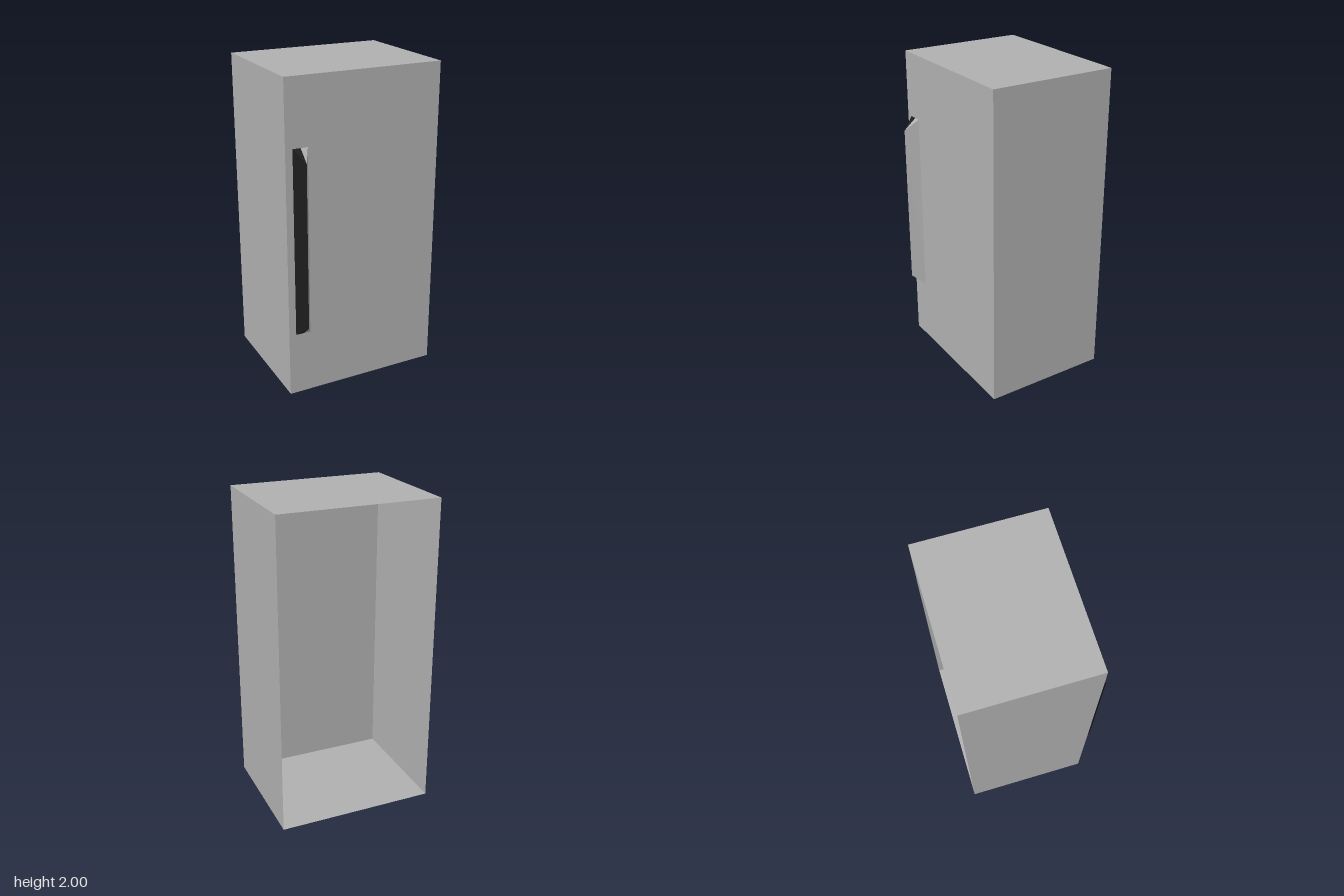
import * as THREE from 'three';

const W = 1.01, H = 2, BACK = -0.44, FRONT = 0.36;

// One half of the wedge handle: a long sloping side and half of each bevelled end.
function handleHalf(edgeX, material, name) {
  const midX = -0.41, base = FRONT + 0.001, tip = 0.44;
  const edge = (y) => [edgeX, y, base];
  const mid = (y) => [midX, y, base];
  const ridge = (y) => [midX, y, tip];
  const [bottom, ridgeBottom, ridgeTop, top] = [0.41, 0.48, 1.52, 1.59];
  const triangles = [
    [edge(bottom), ridge(ridgeBottom), ridge(ridgeTop)],
    [edge(bottom), ridge(ridgeTop), edge(top)],
    [edge(top), ridge(ridgeTop), mid(top)],
    [edge(bottom), mid(bottom), ridge(ridgeBottom)],
  ];
  // The mirrored half needs the opposite winding to face outwards.
  if (edgeX > midX) triangles.forEach((t) => t.reverse());
  const geometry = new THREE.BufferGeometry();
  geometry.setAttribute('position', new THREE.Float32BufferAttribute(triangles.flat(2), 3));
  geometry.computeVertexNormals();
  const mesh = new THREE.Mesh(geometry, material);
  mesh.name = name;
  return mesh;
}

export function createModel() {
  const group = new THREE.Group();
  group.name = 'cabinet';

  const grey = new THREE.MeshStandardMaterial({ color: 0xb0b0b0 });
  grey.name = 'light grey';
  grey.side = THREE.DoubleSide;
  const black = new THREE.MeshStandardMaterial({ color: 0x1c1c1c });
  black.name = 'black';
  black.side = THREE.DoubleSide;

  // Thin-walled body, open at the back: drop the last box face (-z)
  const shell = new THREE.BoxGeometry(W, H, FRONT - BACK);
  shell.setIndex(Array.from(shell.index.array).slice(0, 30));
  shell.clearGroups();
  shell.translate(0, H / 2, (FRONT + BACK) / 2);
  const body = new THREE.Mesh(shell, grey);
  body.name = 'body';
  group.add(body);

  // Door handle, dark on its outer half
  const handle = new THREE.Group();
  handle.name = 'handle';
  handle.add(handleHalf(-0.46, black, 'handleDarkSide'), handleHalf(-0.365, grey, 'handleLightSide'));
  group.add(handle);

  return group;
}
